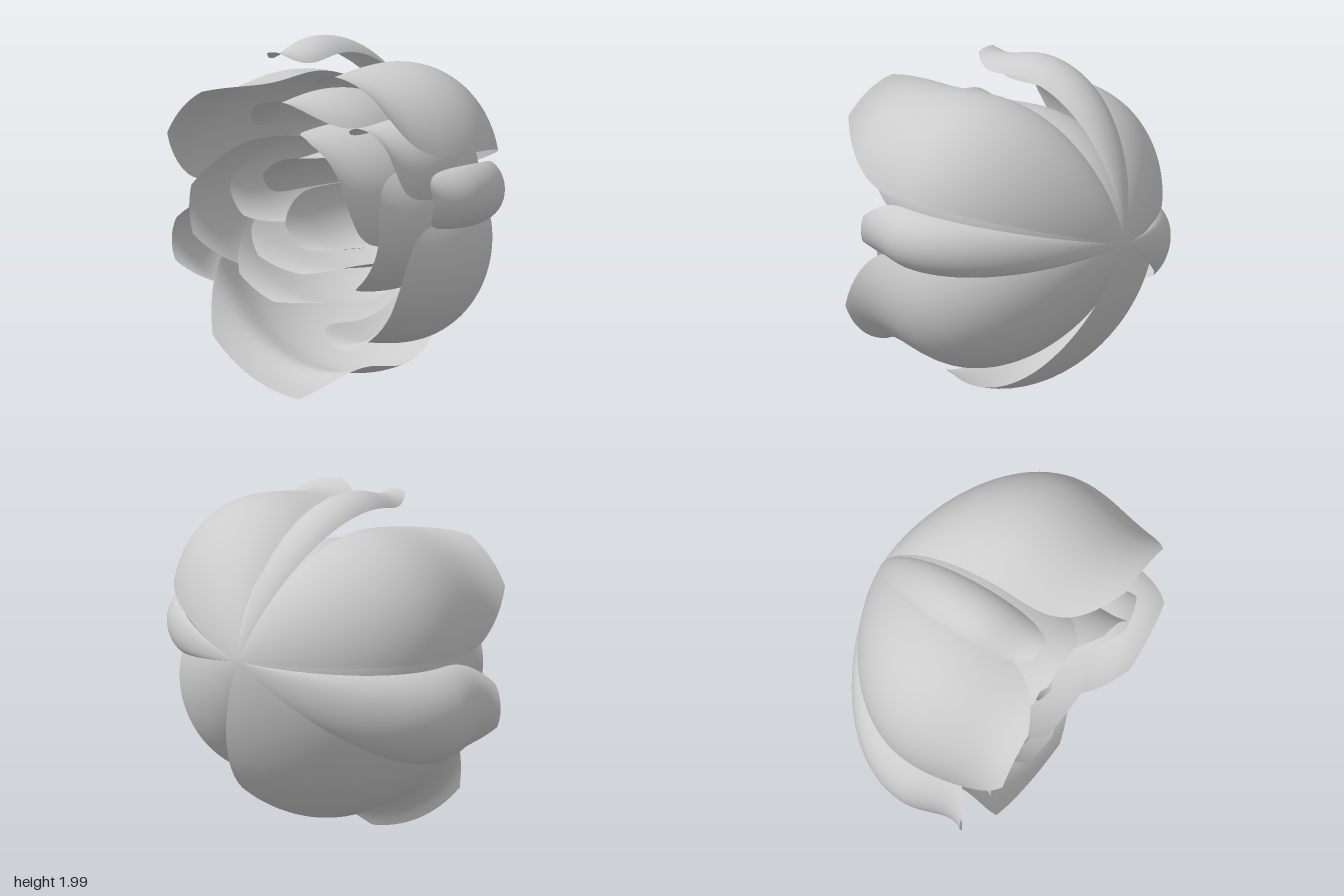
import * as THREE from 'three';

const BASE = new THREE.Vector3(-0.01, 1.12, -0.69); // where all petals meet
const WIDEST_Z = 0.1;                               // depth at which a petal is widest
const ACROSS = 28, ALONG = 48;

// Each petal: name, z of its tip, the two side edges (x, y) of its widest section
// in clockwise order, how far the section bulges outward, then optionally
// the flare of its lip and the width of its tip
const PETALS = [
  // outer ring
  ['outerPetalTop', 0.49, -0.35, 1.91, -0.03, 1.91, 0.08, 0.15],
  ['outerPetalUpperLeft', 0.69, 0.05, 1.79, 0.94, 1.45, 0.26, 0.2],
  ['outerPetalLeft', 0.44, 0.87, 1.37, 0.88, 1.02, 0.125, 0.14],
  ['outerPetalLowerLeft', 0.65, 0.84, 1.06, 0.08, 0.4, 0.38],
  ['outerPetalBottom', 0.5, 0.39, 0.18, -0.77, 0.72, 0.29, 0.31, 0.45],
  ['outerPetalRight', 0.47, -0.8, 0.52, -0.78, 1.05, 0.21, 0.16],
  ['outerPetalUpperRight', 0.67, -0.9, 1.12, -0.25, 1.78, 0.22],
  // middle ring
  ['middlePetalTop', 0.59, -0.45, 1.48, 0.26, 1.54, 0.19],
  ['middlePetalUpperLeft', 0.54, 0.25, 1.5, 0.72, 1.17, 0.26],
  ['middlePetalLeft', 0.58, 0.54, 1.33, 0.3, 0.6, 0.24],
  ['middlePetalBottom', 0.55, 0.12, 0.51, -0.57, 0.87, 0.12],
  ['middlePetalRight', 0.55, -0.6, 0.65, -0.63, 1.36, 0.165],
  // inner ring
  ['innerPetalUpperLeft', 0.65, -0.1, 1.5, 0.42, 0.87, 0.29],
  ['innerPetalBottom', 0.58, 0.41, 0.78, -0.49, 0.97, 0.14],
  ['innerPetalRight', 0.55, -0.2, 0.96, -0.45, 1.35, 0.14],
  // heart
  ['heartPetalTop', 0.5, -0.36, 1.1, 0.08, 1.36, 0.1],
  ['heartPetalBottom', 0.45, 0.17, 0.83, -0.17, 1.14, 0.13],
];

// Circular arc between two edges, bulging to the left of the direction a -> b
function sectionArc(ax, ay, bx, by, bulge) {
  const half = Math.hypot(bx - ax, by - ay) / 2;
  const radius = (half * half + bulge * bulge) / (2 * bulge);
  const outward = Math.atan2(bx - ax, ay - by);
  const spread = 2 * Math.atan2(bulge, half);
  const cx = (ax + bx) / 2 + Math.cos(outward) * (bulge - radius);
  const cy = (ay + by) / 2 + Math.sin(outward) * (bulge - radius);
  return (u) => { // u runs from -1 to 1
    const a = outward - u * spread;
    return [cx + radius * Math.cos(a), cy + radius * Math.sin(a)];
  };
}

function petalGeometry(tipZ, ax, ay, bx, by, bulge, flare = 0.18, tipWidth = 0.36) {
  const section = sectionArc(ax, ay, bx, by, bulge);
  const geo = new THREE.PlaneGeometry(1, 1, ACROSS, ALONG);
  const pos = geo.attributes.position;
  for (let j = 0; j <= ALONG; j++) {
    const v = j / ALONG;
    let scale, z, width = 1;
    if (v < 0.6) { // bowl growing from the base
      const a = (v / 0.6) * Math.PI / 2;
      scale = Math.pow(Math.sin(a), 1.22);
      z = WIDEST_Z - (WIDEST_Z - BASE.z) * Math.cos(a);
    } else {       // blade rounding off towards a flared lip
      const t = (v - 0.6) / 0.4;
      scale = 1 - 0.2 * t ** 2 + flare * t ** 4;
      z = WIDEST_Z + (tipZ - WIDEST_Z) * t;
      width = 1 - (1 - tipWidth) * t ** 3.5;
    }
    for (let i = 0; i <= ACROSS; i++) {
      const [x, y] = section((2 * i / ACROSS - 1) * width);
      pos.setXYZ(j * (ACROSS + 1) + i,
        BASE.x + (x - BASE.x) * scale, BASE.y + (y - BASE.y) * scale, z);
    }
  }
  geo.computeVertexNormals();
  return geo;
}

export function createModel() {
  const flower = new THREE.Group();
  flower.name = 'flower';
  const material = new THREE.MeshStandardMaterial({ color: 0xcccccc, side: THREE.DoubleSide });
  for (const [name, ...shape] of PETALS) {
    const petal = new THREE.Mesh(petalGeometry(...shape), material);
    petal.name = name;
    flower.add(petal);
  }
  return flower;
}
